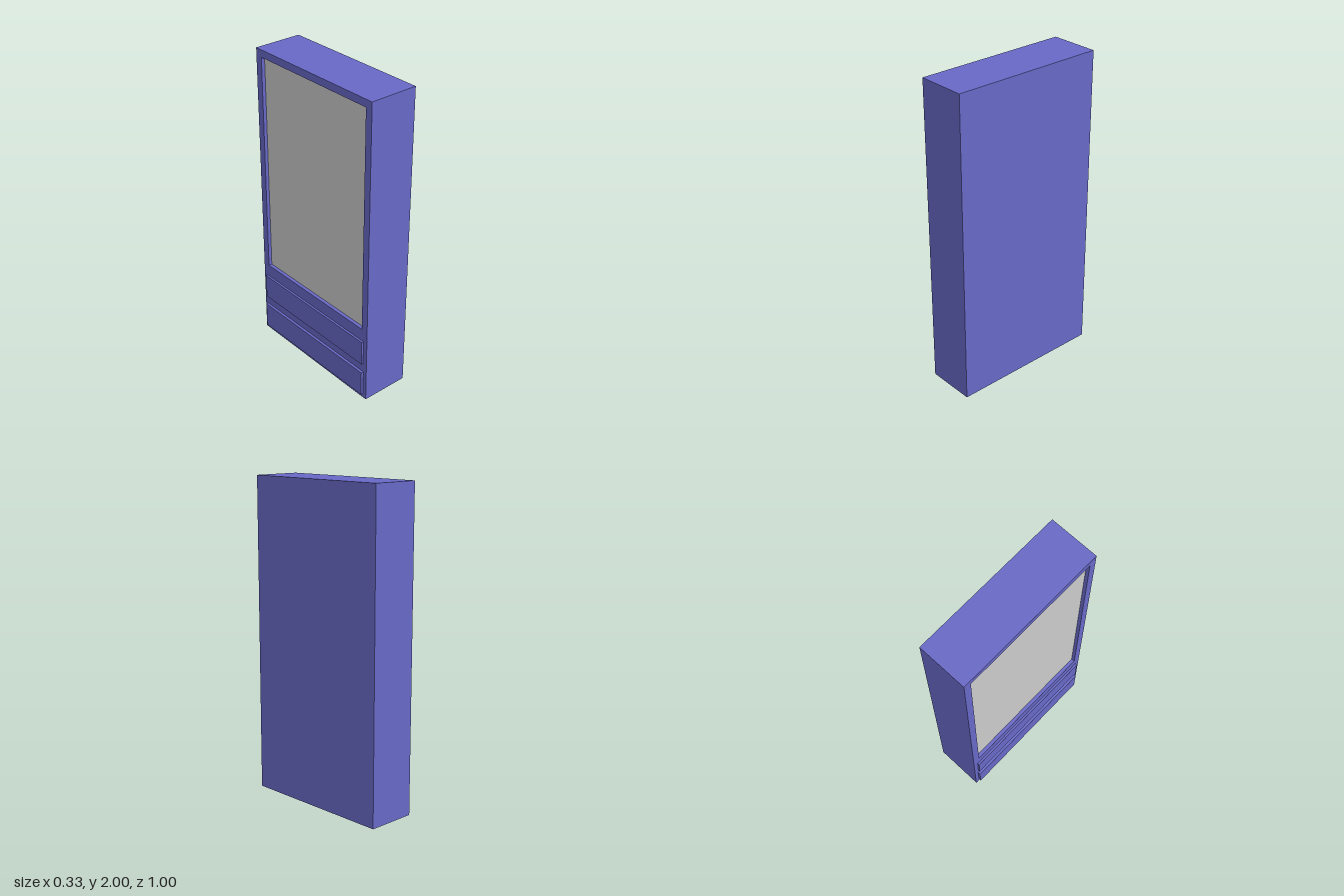
import * as THREE from 'three';

const blue = new THREE.MeshStandardMaterial({ color: 0x6868c6 });
const grey = new THREE.MeshStandardMaterial({ color: 0xcccccc });

// Box given by its limits on each axis
function box(name, [x0, x1], [y0, y1], [z0, z1], material) {
  const mesh = new THREE.Mesh(new THREE.BoxGeometry(x1 - x0, y1 - y0, z1 - z0), material);
  mesh.position.set((x0 + x1) / 2, (y0 + y1) / 2, (z0 + z1) / 2);
  mesh.name = name;
  return mesh;
}

// Rectangle traced on a shape or a hole path
function rect(path, x0, y0, x1, y1) {
  path.moveTo(x0, y0);
  path.lineTo(x1, y0);
  path.lineTo(x1, y1);
  path.lineTo(x0, y1);
  path.closePath();
  return path;
}

export function createModel() {
  const group = new THREE.Group();
  group.name = 'cabinet';
  const right = 0.166, face = -0.149, recess = -0.124;

  // Solid carcass behind the recessed panel
  group.add(box('carcass', [recess, right], [0, 2], [-0.5, 0.5], blue));

  // Face frame with the tall opening, extruded towards -x
  const outline = rect(new THREE.Shape(), -0.5, 0, 0.5, 2);
  outline.holes.push(rect(new THREE.Path(), -0.453, 0.51, 0.453, 1.953));
  const frameGeometry = new THREE.ExtrudeGeometry(outline, { depth: recess - face, bevelEnabled: false });
  frameGeometry.rotateY(-Math.PI / 2);
  const frame = new THREE.Mesh(frameGeometry, blue);
  frame.name = 'faceFrame';
  frame.position.x = recess;
  group.add(frame);

  // Grey panel set into the opening
  group.add(box('insetPanel', [recess - 0.002, recess + 0.002], [0.51, 1.953], [-0.453, 0.453], grey));

  // Two drawer fronts standing proud of the frame
  group.add(box('upperDrawer', [-0.163, face], [0.263, 0.427], [-0.47, 0.47], blue));
  group.add(box('lowerDrawer', [-0.166, face], [0.03, 0.2], [-0.474, 0.474], blue));

  return group;
}
